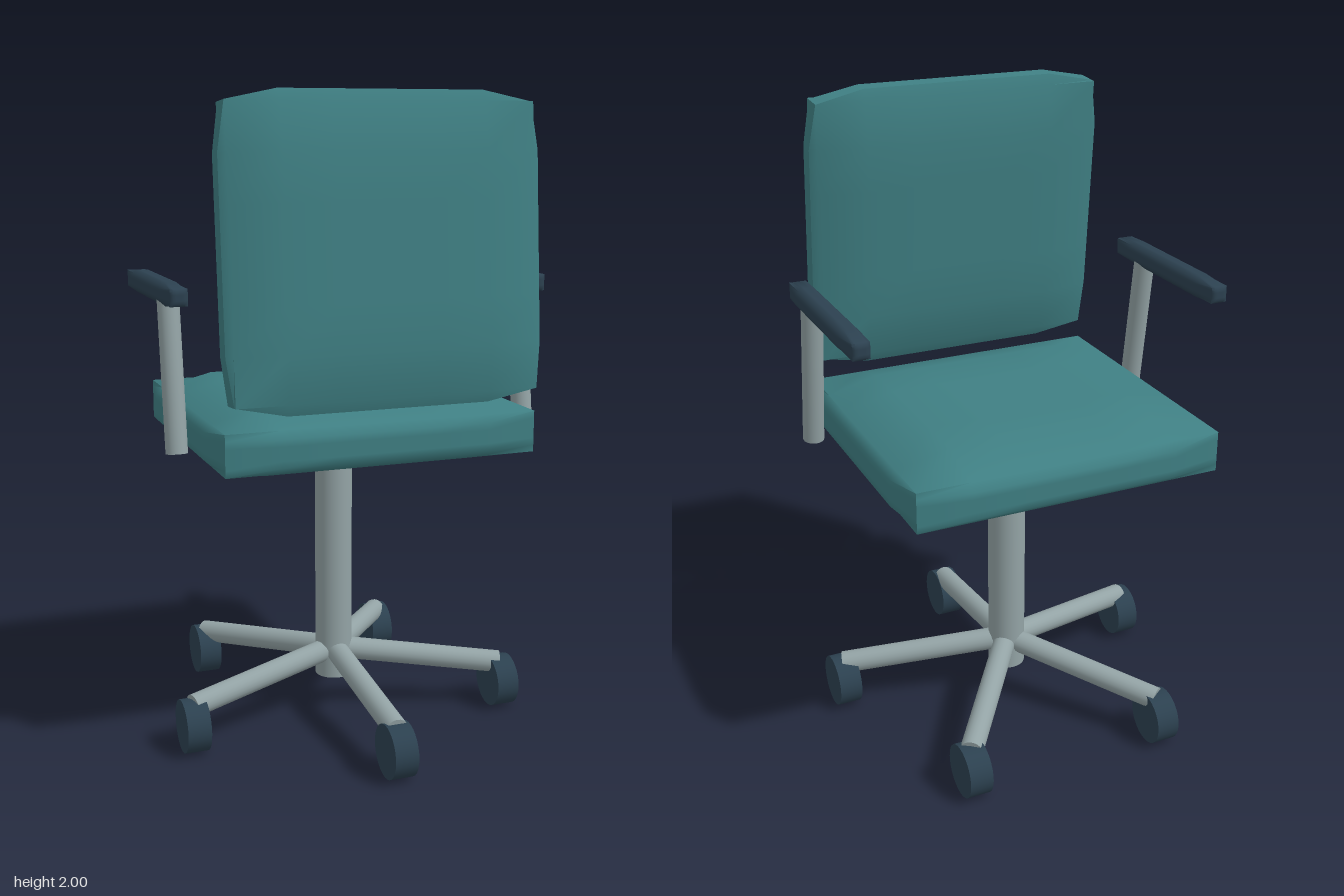
import * as THREE from 'three';
import { toCreasedNormals } from 'three/addons/utils/BufferGeometryUtils.js';

const mat = (name, color) => {
  const m = new THREE.MeshStandardMaterial({ color });
  m.name = name;
  return m;
};

// Padded block: each face keeps its full size up to 2/3 of the way out, then tapers to the edges.
// half = half sizes, taper = size lost on each axis at the outer edges
function padGeometry(half, taper) {
  const geo = new THREE.BoxGeometry(2, 2, 2, 6, 6, 6);
  const pos = geo.attributes.position;
  const edge = (u) => Math.max(0, Math.abs(u) * 3 - 2);
  for (let i = 0; i < pos.count; i++) {
    const p = [pos.getX(i), pos.getY(i), pos.getZ(i)];
    const q = p.map((u, a) => {
      const f = Math.max(edge(p[(a + 1) % 3]), edge(p[(a + 2) % 3]));
      return u * (half[a] - taper[a] * f);
    });
    pos.setXYZ(i, ...q);
  }
  return toCreasedNormals(geo, 0.9);
}

// Straight tube between two points
function rod(a, b, radius, material, sides = 20) {
  const from = new THREE.Vector3(...a), to = new THREE.Vector3(...b);
  const dir = to.clone().sub(from);
  const mesh = new THREE.Mesh(new THREE.CylinderGeometry(radius, radius, dir.length(), sides), material);
  mesh.position.copy(from).add(to).multiplyScalar(0.5);
  mesh.quaternion.setFromUnitVectors(new THREE.Vector3(0, 1, 0), dir.normalize());
  return mesh;
}

export function createModel() {
  const fabric = mat('teal fabric', 0x3f7f83);
  const metal = mat('grey metal', 0x93a3a5);
  const rubber = mat('dark rubber', 0x2c4150);

  const chair = new THREE.Group();
  chair.name = 'officeChair';
  const add = (name, mesh) => {
    mesh.name = name;
    chair.add(mesh);
    return mesh;
  };
  const axisZ = -0.05; // column and base centre

  // Seat cushion
  add('seat', new THREE.Mesh(padGeometry([0.505, 0.105, 0.475], [0.022, 0.042, 0.025]), fabric))
    .position.set(0, 0.995, -0.055);

  // Backrest, leaning slightly
  const back = add('backrest', new THREE.Mesh(padGeometry([0.483, 0.449, 0.064], [0.02, 0.032, 0.024]), fabric));
  back.position.set(0, 1.55, 0.365);
  back.rotation.x = -0.085;

  // Armrests and their posts
  for (const [side, s] of [['left', 1], ['right', -1]]) {
    add(side + 'Armrest', new THREE.Mesh(padGeometry([0.035, 0.034, 0.293], [0.009, 0.009, 0.006]), rubber))
      .position.set(s * 0.565, 1.425, -0.052);
    add(side + 'ArmPost', rod([s * 0.565, 0.96, 0.163], [s * 0.565, 1.41, 0.1], 0.033, metal));
  }

  // Centre column
  add('column', rod([0, 0.12, axisZ], [0, 0.91, axisZ], 0.06, metal, 28));

  // Five-star base: sloping legs ending in wheels that all roll along z
  for (let i = 0; i < 5; i++) {
    const a = (i * Math.PI * 2) / 5;
    const x = 0.55 * Math.sin(a), z = axisZ + 0.55 * Math.cos(a);
    add('leg' + (i + 1), rod([0, 0.208, axisZ], [x, 0.145, z], 0.036, metal));
    add('caster' + (i + 1), rod([x - 0.037, 0.083, z], [x + 0.037, 0.083, z], 0.083, rubber, 28));
  }

  return chair;
}
